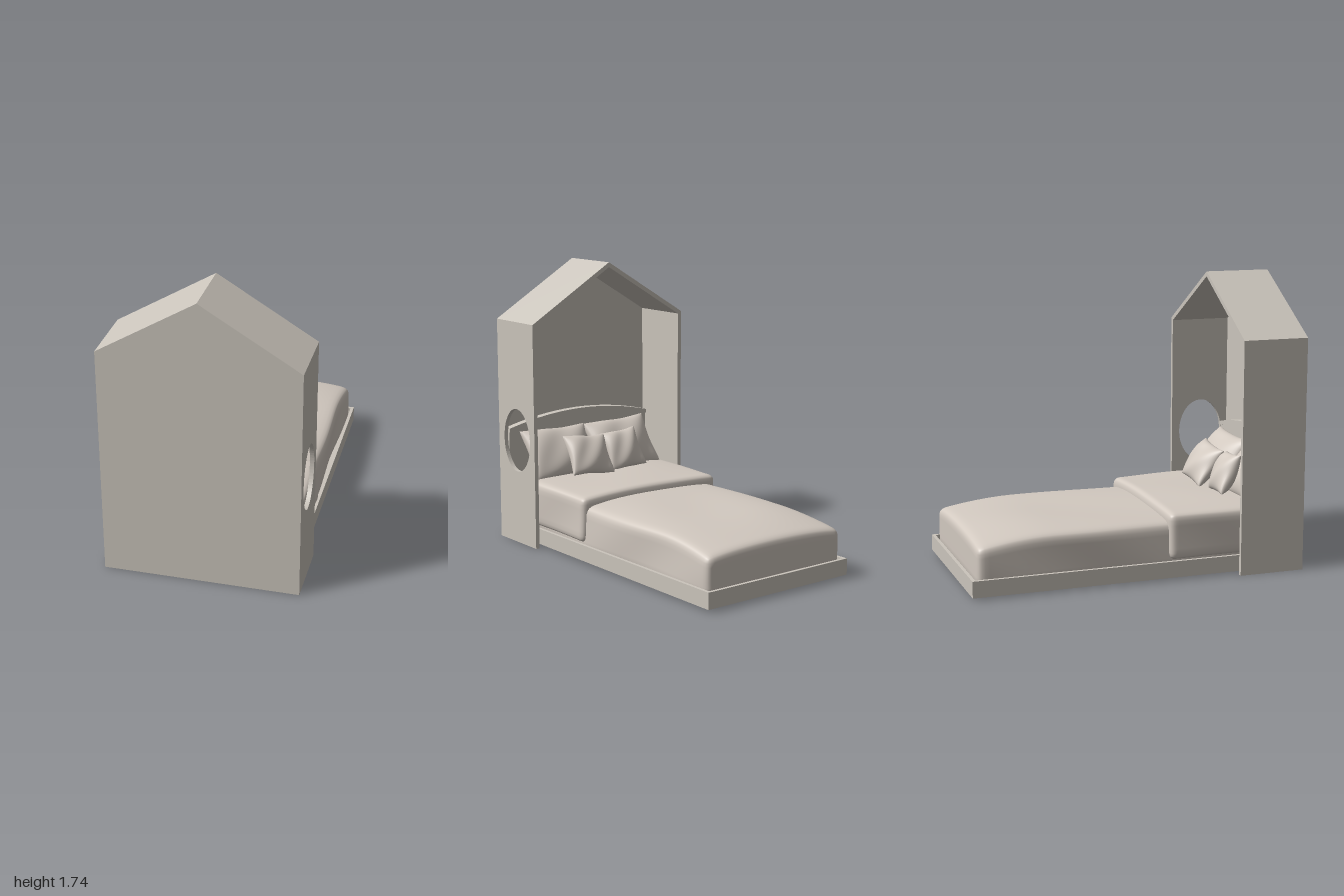
import * as THREE from 'three';
import { mergeVertices } from 'three/addons/utils/BufferGeometryUtils.js';

const woodMat = new THREE.MeshStandardMaterial({ color: 0xcbc5bc });
woodMat.name = 'warm grey panel';
const clothMat = new THREE.MeshStandardMaterial({ color: 0xd2c9c0 });
clothMat.name = 'soft bedding';

const W = 0.57, T = 0.025, EAVE = 1.39, RIDGE = 1.735, FRONT = 1, BACK = 0.6, PANEL = 0.02;

function add(group, name, geometry, material, x = 0, y = 0, z = 0) {
  const mesh = new THREE.Mesh(geometry, material);
  mesh.name = name;
  mesh.position.set(x, y, z);
  group.add(mesh);
  return mesh;
}

// Box given by its minimum and maximum on each axis
function box(group, name, [x0, x1], [y0, y1], [z0, z1]) {
  return add(group, name, new THREE.BoxGeometry(x1 - x0, y1 - y0, z1 - z0), woodMat,
    (x0 + x1) / 2, (y0 + y1) / 2, (z0 + z1) / 2);
}

const outline = (pts) => new THREE.Shape(pts.map(([x, y]) => new THREE.Vector2(x, y)));
const extrude = (shape, depth) =>
  new THREE.ExtrudeGeometry(shape, { depth, bevelEnabled: false, curveSegments: 32 });

// Unit box (-1..1) whose vertices are moved by a rule, then smoothed
function moulded(nx, ny, nz, rule) {
  let g = new THREE.BoxGeometry(2, 2, 2, nx, ny, nz);
  g.deleteAttribute('normal');
  g.deleteAttribute('uv');
  const p = g.attributes.position, v = new THREE.Vector3();
  for (let i = 0; i < p.count; i++) {
    v.fromBufferAttribute(p, i);
    // crowd the grid towards the edges
    v.set(Math.sin(v.x * Math.PI / 2), Math.sin(v.y * Math.PI / 2), Math.sin(v.z * Math.PI / 2));
    rule(v);
    p.setXYZ(i, v.x, v.y, v.z);
  }
  g = mergeVertices(g, 1e-5);
  g.computeVertexNormals();
  return g;
}

// Rounded, slightly rumpled block of bedding
function softBlock(group, name, [x0, x1], [y0, y1], [z0, z1], r, sag) {
  const half = new THREE.Vector3(x1 - x0, y1 - y0, z1 - z0).multiplyScalar(0.5);
  const mid = new THREE.Vector3(x0 + x1, y0 + y1, z0 + z1).multiplyScalar(0.5);
  const lim = half.clone().subScalar(r), low = lim.clone().negate();
  const g = moulded(28, 12, 40, (v) => {
    v.multiply(half);
    const core = v.clone().clamp(low, lim);
    v.sub(core).normalize().multiplyScalar(r).add(core).add(mid);
    const up = (v.y - y0) / (y1 - y0);
    v.x += 0.006 * Math.sin(v.z * 7 + v.y * 9) * Math.sign(v.x) * (Math.abs(v.x) > 0.3 ? 1 : 0);
    v.y += up * (sag(v.x, v.z) + 0.003 * Math.sin(v.x * 8 + v.z * 5));
  });
  return add(group, name, g, clothMat);
}

// Pillow: puffed in the middle, thin at the seam, pointed at the corners
function pillow(group, name, w, h, t, [x, y, z], lean, turn, roll) {
  const g = moulded(22, 22, 1, (v) => {
    const a = 1 - v.x * v.x, b = 1 - v.y * v.y;
    const puff = Math.pow(Math.max(a * b, 0), 0.42);
    v.set(v.x * (w / 2) * (1 - 0.07 * b), v.y * (h / 2) * (1 - 0.07 * a),
      Math.sign(v.z) * (t / 2) * puff + 0.006 * Math.sin(v.x * 5 + v.y * 3));
  });
  const mesh = add(group, name, g, clothMat, x, y, z);
  mesh.rotation.set(lean, turn, roll);
}

function buildHouse() {
  const house = new THREE.Group();
  house.name = 'houseSurround';

  // Gabled panel behind the head of the bed
  const gable = outline([[-W, 0], [W, 0], [W, EAVE], [0, RIDGE], [-W, EAVE]]);
  add(house, 'gablePanel', extrude(gable, PANEL), woodMat, 0, 0, FRONT - PANEL);

  // Side walls, one with an oval window
  const zEnd = FRONT - PANEL, top = EAVE - 0.005;
  box(house, 'plainWall', [-W, -W + T], [0, top], [BACK, zEnd]);
  const wall = outline([[BACK, 0], [zEnd, 0], [zEnd, top], [BACK, top]]);
  const hole = new THREE.Path();
  hole.absellipse(0.795, 0.652, 0.145, 0.197, 0, Math.PI * 2, true);
  wall.holes.push(hole);
  add(house, 'windowWall', extrude(wall, T).rotateY(-Math.PI / 2), woodMat, W);

  // Pitched roof
  const roof = outline([[-W, EAVE], [-W, top], [-W + T, EAVE - 0.015], [0, RIDGE - 0.03],
    [W - T, EAVE - 0.015], [W, top], [W, EAVE], [0, RIDGE]]);
  add(house, 'roof', extrude(roof, zEnd - BACK), woodMat, 0, 0, BACK);
  return house;
}

function buildBed() {
  const bed = new THREE.Group();
  bed.name = 'bed';

  // Low frame and base board
  const X = 0.52, R = 0.02, yr = [0.015, 0.112];
  for (const s of [-1, 1]) {
    box(bed, 'sideRail', [s * X - (s > 0 ? R : 0), s * X + (s > 0 ? 0 : R)], yr, [-1, 0.97]);
  }
  box(bed, 'footRail', [-X + R, X - R], yr, [-1, -1 + R]);
  box(bed, 'headRail', [-X + R, X - R], yr, [0.95, 0.97]);
  box(bed, 'baseBoard', [-0.487, 0.487], [0.03, 0.06], [-0.965, 0.95]);

  // Arched headboard with a thin cap
  const H = 0.535, end = 0.7, peak = 0.77;
  const board = outline([[-H, 0.06], [H, 0.06], [H, end]]);
  board.quadraticCurveTo(0, 2 * peak - end, -H, end);
  add(bed, 'headboard', extrude(board, 0.035), woodMat, 0, 0, 0.94);
  const cap = outline([[-H, end - 0.025], [-H, end]]);
  cap.quadraticCurveTo(0, 2 * peak - end, H, end);
  cap.lineTo(H, end - 0.025);
  cap.quadraticCurveTo(0, 2 * peak - end - 0.025, -H, end - 0.025);
  add(bed, 'headboardCap', extrude(cap, 0.05), woodMat, 0, 0, 0.93);

  // Mattress, dropping gently at the foot, and the turned-back cover
  softBlock(bed, 'mattress', [-0.495, 0.49], [0.06, 0.36], [-0.965, 0.92], 0.045, (x, z) =>
    -0.05 * Math.pow(Math.max(0, (-z - 0.5) / 0.47), 2) - 0.03 * Math.pow(Math.abs(x) / 0.5, 4));
  softBlock(bed, 'foldedCover', [-0.522, 0.515], [0.118, 0.405], [0.175, 0.93], 0.04, (x, z) =>
    0.008 * Math.sin((z - 0.18) * 4) - 0.015 * Math.pow(Math.abs(x) / 0.5, 4));

  // Pillows against the headboard and cushions in front
  for (const s of [-1, 1]) {
    pillow(bed, 'pillow', 0.48, 0.35, 0.16, [s * 0.24, 0.53, 0.81], 0.58, 0, s * 0.02);
  }
  pillow(bed, 'largeCushion', 0.31, 0.27, 0.12, [0.135, 0.53, 0.645], 0.6, 0.05, 0.08);
  pillow(bed, 'smallCushion', 0.26, 0.26, 0.12, [-0.15, 0.525, 0.67], 0.5, -0.08, -0.04);
  return bed;
}

export function createModel() {
  const model = new THREE.Group();
  model.name = 'houseBed';
  model.add(buildHouse(), buildBed());
  return model;
}
